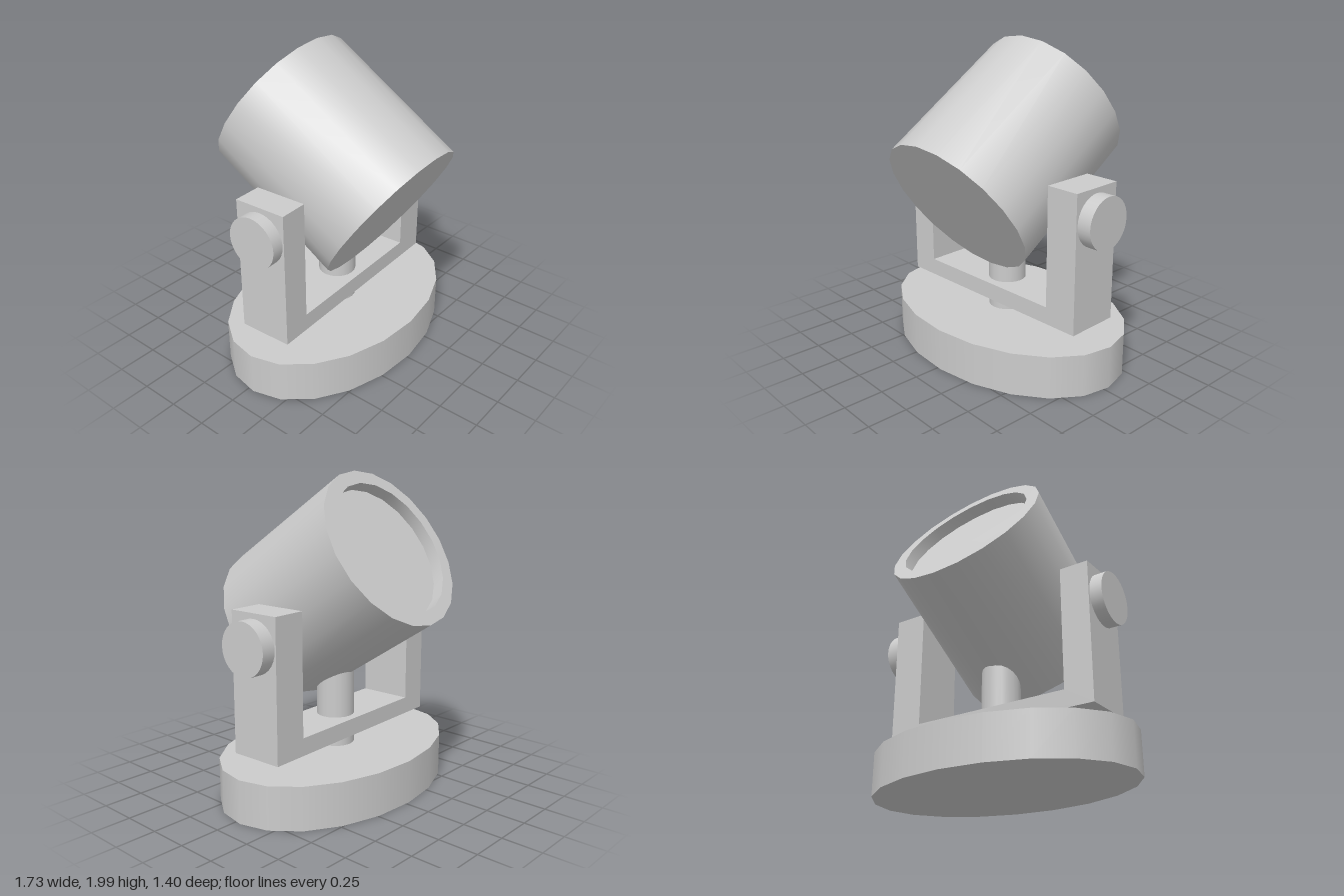
import * as THREE from 'three';
import { toCreasedNormals } from 'three/addons/utils/BufferGeometryUtils.js';

const material = new THREE.MeshStandardMaterial({ color: 0xcccccc });

function part(name, geometry, parent, x = 0, y = 0, z = 0) {
  const mesh = new THREE.Mesh(geometry, material);
  mesh.name = name;
  mesh.position.set(x, y, z);
  parent.add(mesh);
  return mesh;
}

export function createModel() {
  const model = new THREE.Group();
  model.name = 'spotlight';

  // everything is turned slightly about the vertical
  const lamp = new THREE.Group();
  lamp.name = 'lamp';
  lamp.rotation.y = 0.045;
  model.add(lamp);

  // oval base plate
  const base = new THREE.CylinderGeometry(1, 1, 0.27, 20);
  base.scale(0.865, 1, 0.585);
  part('base', base, lamp, 0, 0.135, 0);

  // stem from the base up into the drum
  part('stem', new THREE.CylinderGeometry(0.12, 0.12, 0.55, 20), lamp, 0, 0.53, 0);

  // U-shaped yoke
  const outline = [
    [-0.727, 0.35], [0.722, 0.35], [0.722, 1.22], [0.503, 1.22],
    [0.503, 0.46], [-0.543, 0.46], [-0.543, 1.22], [-0.727, 1.22],
  ].map(([x, y]) => new THREE.Vector2(x, y));
  const yoke = new THREE.ExtrudeGeometry(new THREE.Shape(outline), { depth: 0.345, bevelEnabled: false });
  yoke.translate(0, 0, -0.1725);
  part('yoke', yoke, lamp);

  // pivot knobs on the outside of both arms
  for (const [name, x] of [['leftKnob', 0.763], ['rightKnob', -0.755]]) {
    const knob = new THREE.CylinderGeometry(0.163, 0.163, 0.1, 32);
    knob.rotateZ(Math.PI / 2);
    part(name, knob, lamp, x, 1.025, 0);
  }

  // tilted drum with a shallow recess in its upper end
  const profile = [
    [0, -0.498], [0.518, -0.498], [0.518, 0.498],
    [0.433, 0.498], [0.433, 0.42], [0, 0.42],
  ].map(([r, y]) => new THREE.Vector2(r, y));
  const drum = toCreasedNormals(new THREE.LatheGeometry(profile, 20), 0.6);
  part('drum', drum, lamp, -0.015, 1.286, 0).rotation.x = -0.993;

  return model;
}
